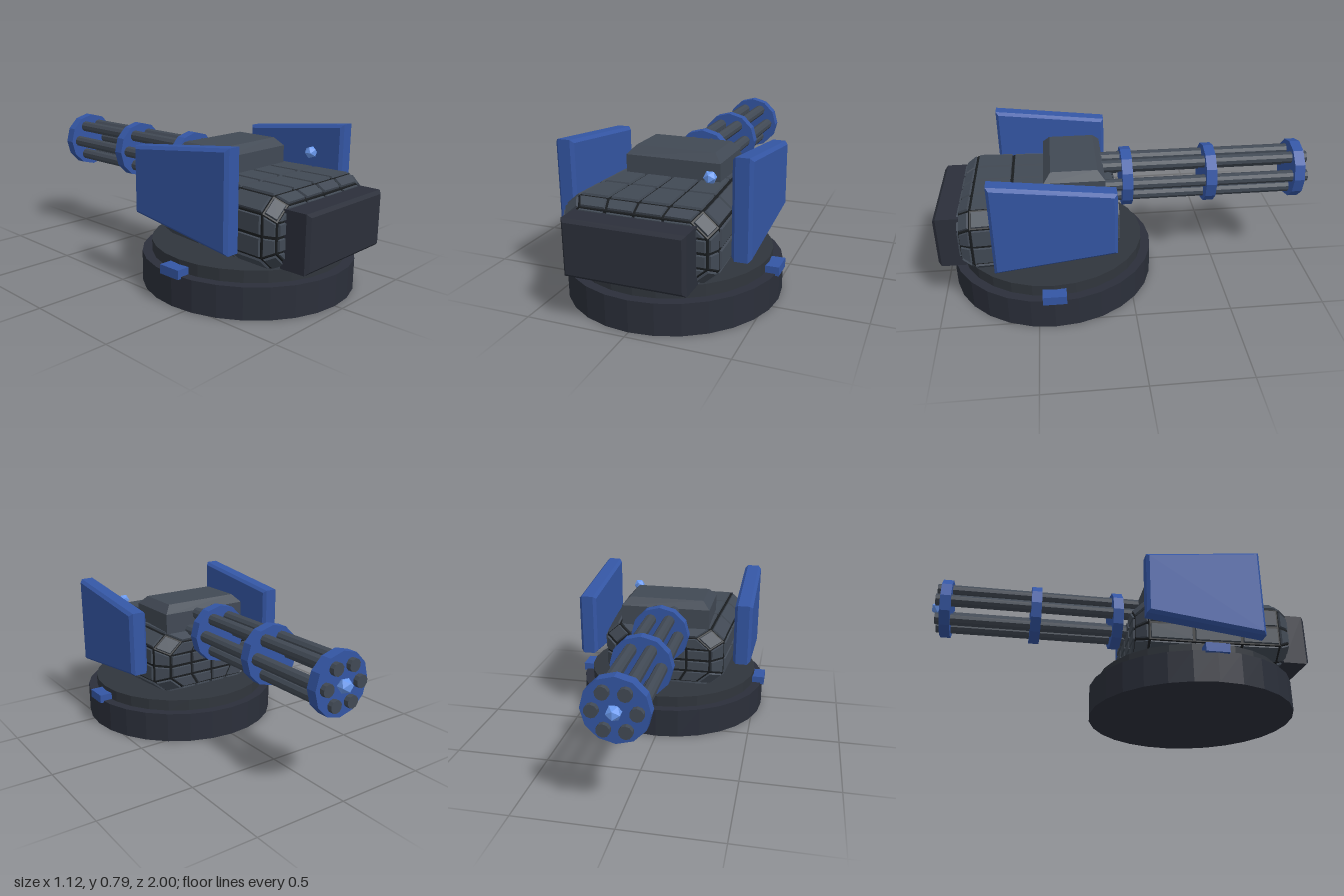
import * as THREE from 'three';

const paint = (color) => new THREE.MeshStandardMaterial({ color, flatShading: true });

function add(parent, name, geometry, material, x = 0, y = 0, z = 0) {
  const mesh = new THREE.Mesh(geometry, material);
  mesh.name = name;
  mesh.position.set(x, y, z);
  parent.add(mesh);
  return mesh;
}

// Solid from a 2D outline with chamfered rims; the outline and depth are outer sizes
function chamferedPlate(points, depth, bevel) {
  const shape = new THREE.Shape(points.map(([x, y]) => new THREE.Vector2(x, y)));
  const geometry = new THREE.ExtrudeGeometry(shape, {
    depth: depth - 2 * bevel, bevelEnabled: true, bevelSegments: 1,
    bevelThickness: bevel, bevelSize: bevel, bevelOffset: -bevel,
  });
  return geometry.translate(0, 0, bevel);
}

// 5 x 5 grid of points over one chamfered hull section
function sectionGrid([z, w, bottom, top]) {
  const cut = 0.065;
  const rows = [
    [top, w - 0.075], [top - cut, w], [(top + bottom) / 2, w],
    [bottom + cut, w], [bottom, w - 0.075],
  ];
  return rows.map(([y, half]) =>
    [-1, -0.5, 0, 0.5, 1].map((s) => new THREE.Vector3(s * half, y, z)));
}

// Section outline, clockwise seen from +z
function outline(g) {
  const points = [];
  for (let i = 0; i < 4; i++) points.push(g[0][i]);
  for (let i = 0; i < 4; i++) points.push(g[i][4]);
  for (let i = 4; i > 0; i--) points.push(g[4][i]);
  for (let i = 4; i > 0; i--) points.push(g[i][0]);
  return points;
}

function geometryFromQuads(quads) {
  const points = [];
  for (const [a, b, c, d] of quads) points.push(a, b, c, a, c, d);
  const geometry = new THREE.BufferGeometry().setFromPoints(points);
  geometry.computeVertexNormals();
  return geometry;
}

// Raised armour tile on a quad: four sloped sides and a face
function tile(quad, gap, height) {
  const center = new THREE.Vector3();
  quad.forEach((p) => center.addScaledVector(p, 0.25));
  const normal = quad[2].clone().sub(quad[0]).cross(quad[3].clone().sub(quad[1])).normalize();
  const ring = (inset, lift) => quad.map((p, i) => {
    const toNext = quad[(i + 1) % 4].clone().sub(p).normalize();
    const toLast = quad[(i + 3) % 4].clone().sub(p).normalize();
    return p.clone().addScaledVector(toNext, inset).addScaledVector(toLast, inset)
      .addScaledVector(normal, lift);
  });
  const low = ring(gap, 0);
  const high = ring(gap + 0.003, height);
  const faces = [high];
  for (let i = 0; i < 4; i++) {
    const j = (i + 1) % 4;
    faces.push([low[i], low[j], high[j], high[i]]);
  }
  return faces;
}

export function createModel() {
  const model = new THREE.Group();
  model.name = 'gunTurret';
  const dark = paint(0x2b2f3a);
  const deck = paint(0x30353c);
  const steel = paint(0x414954);
  const groove = paint(0x191c1f);
  const blue = paint(0x3456a4);
  const glow = paint(0x6a9af0);

  // Round base with step and side lugs
  add(model, 'base', new THREE.CylinderGeometry(0.545, 0.545, 0.16, 28), dark, 0, 0.08, 0.415);
  add(model, 'turntable', new THREE.CylinderGeometry(0.495, 0.495, 0.06, 28), deck, 0, 0.19, 0.415);
  for (const side of [-1, 1]) {
    add(model, 'baseLug', new THREE.BoxGeometry(0.075, 0.046, 0.12), blue, side * 0.52, 0.173, 0.413);
  }

  // Hull: dark core covered in armour tiles; sections are [z, half width, bottom, top]
  const grids = [
    [0.87, 0.345, 0.26, 0.53], [0.81, 0.375, 0.23, 0.565], [0.61, 0.365, 0.23, 0.565],
    [0.36, 0.35, 0.23, 0.565], [0.13, 0.335, 0.235, 0.555], [0.07, 0.265, 0.26, 0.52],
  ].map(sectionGrid);
  const quads = [];
  for (let s = 0; s < grids.length - 1; s++) {
    const front = outline(grids[s]);
    const back = outline(grids[s + 1]);
    for (let i = 0; i < 16; i++) {
      const j = (i + 1) % 16;
      quads.push([front[i], front[j], back[j], back[i]]);
    }
  }
  const first = grids[0];
  const last = grids[grids.length - 1];
  for (let r = 0; r < 4; r++) {
    for (let c = 0; c < 4; c++) {
      quads.push([first[r][c], first[r + 1][c], first[r + 1][c + 1], first[r][c + 1]]);
      quads.push([last[r][c], last[r][c + 1], last[r + 1][c + 1], last[r + 1][c]]);
    }
  }
  add(model, 'hullCore', geometryFromQuads(quads), groove);
  add(model, 'hullArmour', geometryFromQuads(quads.flatMap((q) => tile(q, 0.007, 0.01))), steel);

  // Front block
  const block = [[-0.295, 0.24], [0.295, 0.24], [0.295, 0.518], [-0.295, 0.518]];
  add(model, 'frontBlock', chamferedPlate(block, 0.16, 0.016), dark, 0, 0, 0.84);

  // Roof housing, chamfered around the top
  const housing = new THREE.BoxGeometry(0.495, 0.16, 0.31, 1, 2, 1);
  const pos = housing.attributes.position;
  for (let i = 0; i < pos.count; i++) {
    if (pos.getY(i) > 0.07) {
      pos.setX(i, pos.getX(i) * 0.84);
      pos.setZ(i, pos.getZ(i) * 0.76);
    } else if (pos.getY(i) > -0.07) pos.setY(i, 0.037);
  }
  housing.computeVertexNormals();
  add(model, 'roofHousing', housing, steel, 0, 0.628, 0.285);

  // Tapered side shields, outline in (-z, y)
  const shieldOutline = [[-0.7, 0.3], [-0.09, 0.378], [-0.09, 0.715], [-0.7, 0.785]];
  const shieldGeometry = chamferedPlate(shieldOutline, 0.096, 0.016).rotateY(Math.PI / 2);
  for (const x of [-0.486, 0.39]) add(model, 'sideShield', shieldGeometry, blue, x);

  // Rotary gun: six barrels held by three collars
  const gun = new THREE.Group();
  gun.name = 'rotaryGun';
  gun.position.y = 0.557;
  model.add(gun);
  const barrel = new THREE.CylinderGeometry(0.032, 0.032, 1.11, 10).rotateX(Math.PI / 2);
  for (let i = 0; i < 6; i++) {
    const a = (i * Math.PI) / 3;
    add(gun, 'barrel', barrel, steel, 0.1 * Math.cos(a), 0.1 * Math.sin(a), -0.415);
  }
  const collar = new THREE.CylinderGeometry(0.157, 0.157, 0.055, 12).rotateX(Math.PI / 2);
  for (const z of [0.005, -0.44, -0.917]) add(gun, 'collar', collar, blue, 0, 0, z);
  add(gun, 'muzzleGem', new THREE.IcosahedronGeometry(0.038, 0), glow, 0, 0, -0.964);

  // Sensor beside the roof
  add(model, 'sensor', new THREE.IcosahedronGeometry(0.033, 0), glow, 0.257, 0.65, 0.605);

  return model;
}
